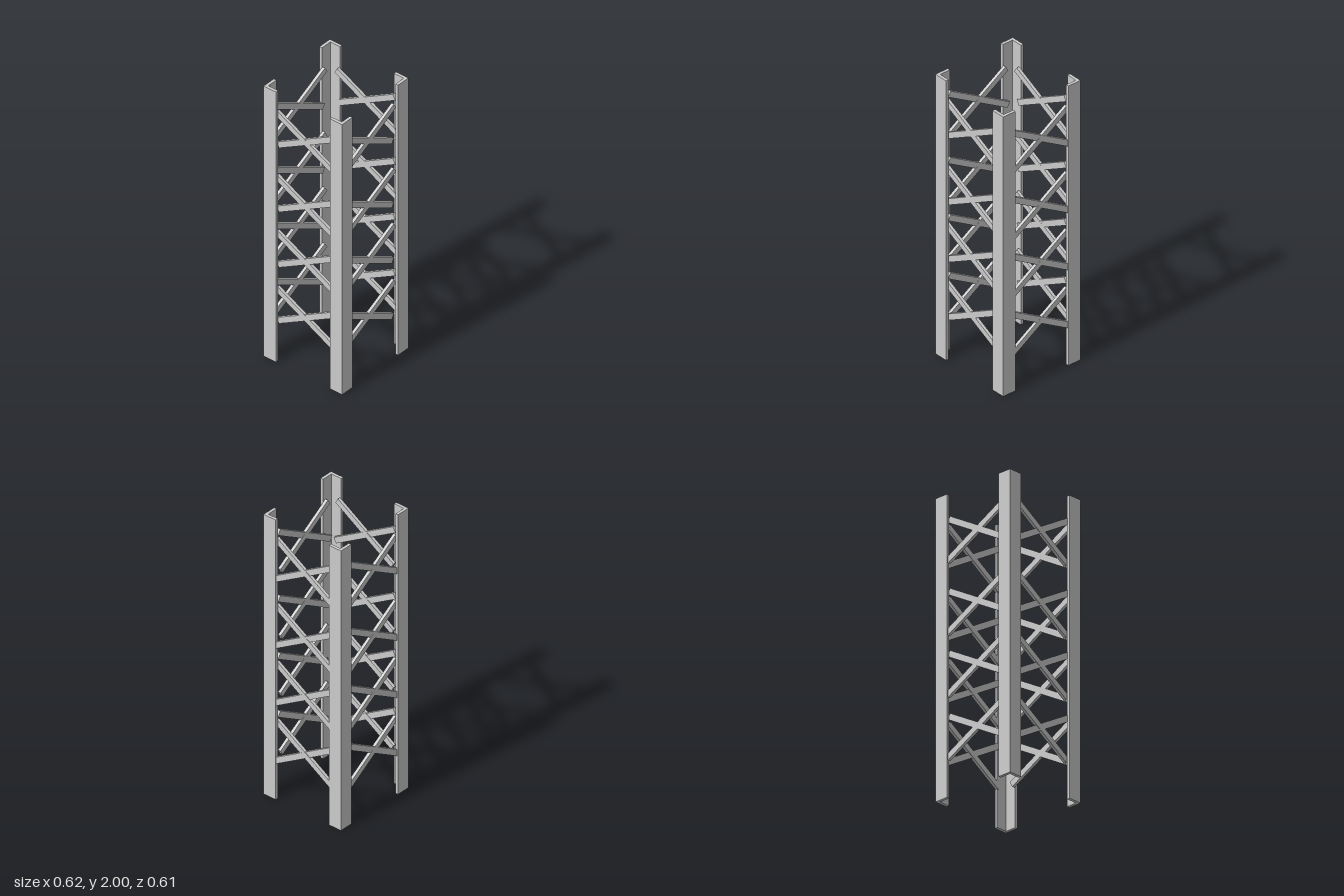
import * as THREE from 'three';

const material = new THREE.MeshStandardMaterial({ color: 0xcccccc });

const HEIGHT = 2;
const HALF_X = 0.309, HALF_Z = 0.306;    // outer corners of the legs
const FLANGE = 0.096, THICK = 0.02;      // angle-iron section
const LEVELS = [0.405, 0.82, 1.23, 1.705];
const PITCH = Math.PI / 6, YAW = 0.04;   // lean of each brace bar

// Upright angle iron with its corner outwards at (sx, sz)
function makeLeg(sx, sz) {
  const section = [[0, 0], [FLANGE, 0], [FLANGE, THICK], [THICK, THICK], [THICK, FLANGE], [0, FLANGE]];
  const points = section.map(([a, b]) =>
    new THREE.Vector2(sx * (HALF_X - a), -sz * (HALF_Z - b)));
  const geometry = new THREE.ExtrudeGeometry(new THREE.Shape(points), { depth: HEIGHT, bevelEnabled: false });
  geometry.rotateX(-Math.PI / 2);
  const leg = new THREE.Mesh(geometry, material);
  leg.name = (sz > 0 ? 'front' : 'back') + (sx > 0 ? 'Left' : 'Right') + 'Leg';
  return leg;
}

// One face of the tower: a column of X braces whose bars meet at x = cross
const barGeometry = new THREE.BoxGeometry(0.525, 0.04, 0.02);
function makeBracedFace(name, centre, cross) {
  const face = new THREE.Group();
  face.name = name;
  for (const y of LEVELS) {
    for (const s of [1, -1]) {
      const bar = new THREE.Mesh(barGeometry, material);
      bar.name = s > 0 ? 'risingBrace' : 'fallingBrace';
      bar.position.set(centre, y + s * Math.tan(PITCH) * (centre - cross), 0);
      bar.rotation.set(0, -s * YAW, s * PITCH);
      face.add(bar);
    }
  }
  return face;
}

export function createModel() {
  const tower = new THREE.Group();
  tower.name = 'latticeTower';

  // Four corner legs
  for (const sx of [-1, 1]) for (const sz of [-1, 1]) tower.add(makeLeg(sx, sz));

  // Front and back bracing
  const front = makeBracedFace('frontBracing', -0.016, -0.022);
  front.position.z = 0.266;
  const back = makeBracedFace('backBracing', -0.006, -0.022);
  back.position.z = -0.28;

  // Side bracing, turned a quarter
  const left = makeBracedFace('leftBracing', 0.0015, -0.01);
  left.position.x = 0.287;
  const right = makeBracedFace('rightBracing', 0.0015, -0.01);
  right.position.x = -0.272;
  left.rotation.y = right.rotation.y = -Math.PI / 2;

  tower.add(front, back, left, right);
  return tower;
}
